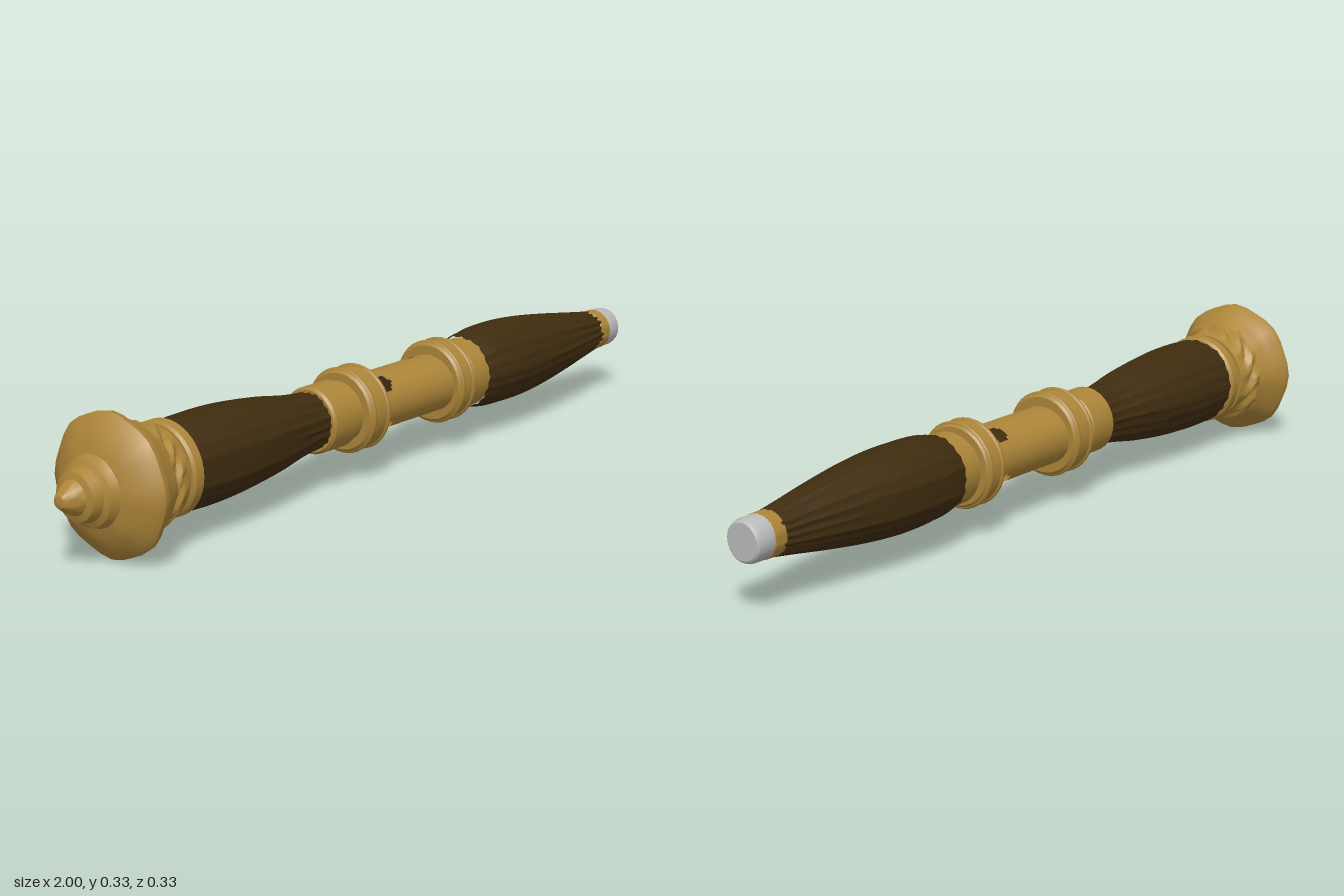
import * as THREE from 'three';
import { toCreasedNormals } from 'three/addons/utils/BufferGeometryUtils.js';

const AXIS_Y = 0.165;

function material(name, color, side = THREE.FrontSide) {
  const m = new THREE.MeshStandardMaterial({ color, side });
  m.name = name;
  return m;
}

// Turned part along x from [x, radius] pairs; relief(x, angle) offsets the radius
function turned(name, profile, mat, segments = 40, relief = null) {
  const pts = profile.map(([x, r]) => new THREE.Vector2(r, x));
  let geo = new THREE.LatheGeometry(pts, segments);
  geo.rotateZ(-Math.PI / 2);
  if (relief) {
    const p = geo.attributes.position;
    for (let i = 0; i < p.count; i++) {
      const x = p.getX(i), y = p.getY(i), z = p.getZ(i), r = Math.hypot(y, z);
      if (r < 0.001) continue;
      const k = 1 + relief(x, Math.atan2(y, z)) / r;
      p.setXYZ(i, x, y * k, z * k);
    }
  }
  geo = toCreasedNormals(geo, 0.6);
  const mesh = new THREE.Mesh(geo, mat);
  mesh.name = name;
  return mesh;
}

// Smooth profile through a few stations
function smooth(stations, n = 28) {
  const c = new THREE.SplineCurve(stations.map(([x, r]) => new THREE.Vector2(x, r)));
  return c.getPoints(n).map((v) => [v.x, v.y]);
}

// Hollow sleeve, leaving open the cells for which isHole(x, angle) is true
function sleeve(name, x0, x1, mat, isHole) {
  const nx = 36, na = 48, pos = [], idx = [];
  for (let i = 0; i <= nx; i++) {
    for (let j = 0; j < na; j++) {
      const a = (j / na) * Math.PI * 2;
      const r = 0.074 + 0.005 * Math.cos(2 * a);
      pos.push(x0 + (x1 - x0) * i / nx, r * Math.sin(a), r * Math.cos(a));
    }
  }
  for (let i = 0; i < nx; i++) {
    for (let j = 0; j < na; j++) {
      const x = x0 + (x1 - x0) * (i + 0.5) / nx;
      if (isHole(x, ((j + 0.5) / na) * Math.PI * 2)) continue;
      const k = (j + 1) % na;
      const a = i * na + j, b = i * na + k, c = a + na, d = b + na;
      idx.push(a, c, b, b, c, d);
    }
  }
  const geo = new THREE.BufferGeometry();
  geo.setAttribute('position', new THREE.Float32BufferAttribute(pos, 3));
  geo.setIndex(idx);
  geo.computeVertexNormals();
  const mesh = new THREE.Mesh(geo, mat);
  mesh.name = name;
  return mesh;
}

export function createModel() {
  const gold = material('antique gold', 0xac8539);
  const goldOpen = gold;
  goldOpen.side = THREE.DoubleSide;
  const brown = material('dark brown', 0x3f2c0f);
  const silver = material('silver', 0xb9b9b9);

  const model = new THREE.Group();
  model.name = 'ornateHandle';
  const body = new THREE.Group();
  body.name = 'body';
  body.position.y = AXIS_Y;
  model.add(body);

  // Pommel: stepped finial and wide wavy flange
  body.add(turned('finial', [
    [-1, 0], [-0.995, 0.015], [-0.975, 0.03], [-0.955, 0.04], [-0.95, 0.055],
    [-0.925, 0.062], [-0.918, 0.075], [-0.895, 0.082], [-0.885, 0.09], [-0.87, 0.09],
  ], gold, 24));
  body.add(turned('flange', [
    [-0.9, 0.06], [-0.892, 0.1], [-0.875, 0.126], [-0.858, 0.153], [-0.845, 0.163],
    [-0.83, 0.16], [-0.81, 0.143], [-0.79, 0.134], [-0.77, 0.124],
  ], gold, 32, (x, a) => 0.0025 * Math.cos(8 * a)));

  // Carved scrollwork band behind the flange
  const band = [];
  for (let i = 0; i <= 12; i++) band.push([-0.79 + i * 0.0067, 0.126 - i * 0.0016]);
  band.push([-0.71, 0.085]);
  body.add(turned('scrollBand', band, gold, 96, (x, a) =>
    x > -0.715 ? 0 : 0.006 * Math.sin(12 * a + 2.2 * Math.sin((x + 0.79) * 80)) * Math.sin((x + 0.79) * 42)));

  // Rings and collars: [name, start, end, radius]
  const rings = [
    ['pommelNeck', -0.72, -0.695, 0.092], ['pommelRing', -0.7, -0.665, 0.11],
    ['rearCollar', -0.2, -0.112, 0.08], ['rearNeck', -0.12, -0.085, 0.073],
    ['rearRing', -0.092, -0.018, 0.098],
    ['frontRing', 0.245, 0.308, 0.098], ['frontNeck', 0.3, 0.325, 0.075],
    ['frontCollar', 0.318, 0.388, 0.085], ['tipBand', 0.912, 0.957, 0.051],
  ];
  for (const [name, a, b, r] of rings) {
    const e = 0.006;
    body.add(turned(name, [[a, 0.045], [a, r - e], [a + e, r], [b - e, r], [b, r - e], [b, 0.045]], gold));
  }
  // Raised bead on each large ring
  for (const x of [-0.08, -0.03, 0.257, 0.297]) {
    const bead = new THREE.Mesh(new THREE.TorusGeometry(0.097, 0.006, 8, 40), gold);
    bead.name = 'ringBead';
    bead.rotation.y = Math.PI / 2;
    bead.position.x = x;
    body.add(bead);
  }

  // Fluted grips
  const flutes = (x, a) => 0.0018 * Math.cos(20 * a) + 0.0012 * Math.sin(7 * a + x * 3);
  body.add(turned('rearGrip', smooth([
    [-0.68, 0.102], [-0.58, 0.106], [-0.48, 0.103], [-0.36, 0.09], [-0.26, 0.073], [-0.18, 0.066],
  ]), brown, 80, flutes));
  body.add(turned('frontGrip', smooth([
    [0.375, 0.088], [0.43, 0.097], [0.53, 0.099], [0.64, 0.091], [0.76, 0.075], [0.86, 0.059], [0.925, 0.049],
  ]), brown, 80, flutes));

  // Middle sleeve with round openings: [x, angle from +z toward +y]
  const q = Math.PI / 4;
  const holes = [[0.012, 1.1 * q], [0.012, -1.1 * q], [0.205, 2.75 * q], [0.205, 5 * q]];
  body.add(sleeve('middleSleeve', -0.03, 0.25, goldOpen, (x, a) => holes.some(([hx, ha]) => {
    const d = Math.atan2(Math.sin(a - ha), Math.cos(a - ha)) * 0.075;
    return Math.hypot(x - hx, d) < 0.025;
  })));
  body.add(turned('sleeveCore', [[0.09, 0], [0.09, 0.058], [0.25, 0.058], [0.25, 0]], brown, 24));

  // Silver tip
  body.add(turned('silverTip', [
    [0.95, 0.03], [0.95, 0.05], [0.985, 0.05], [0.996, 0.047], [1, 0.042], [1, 0],
  ], silver, 24));
  return model;
}
